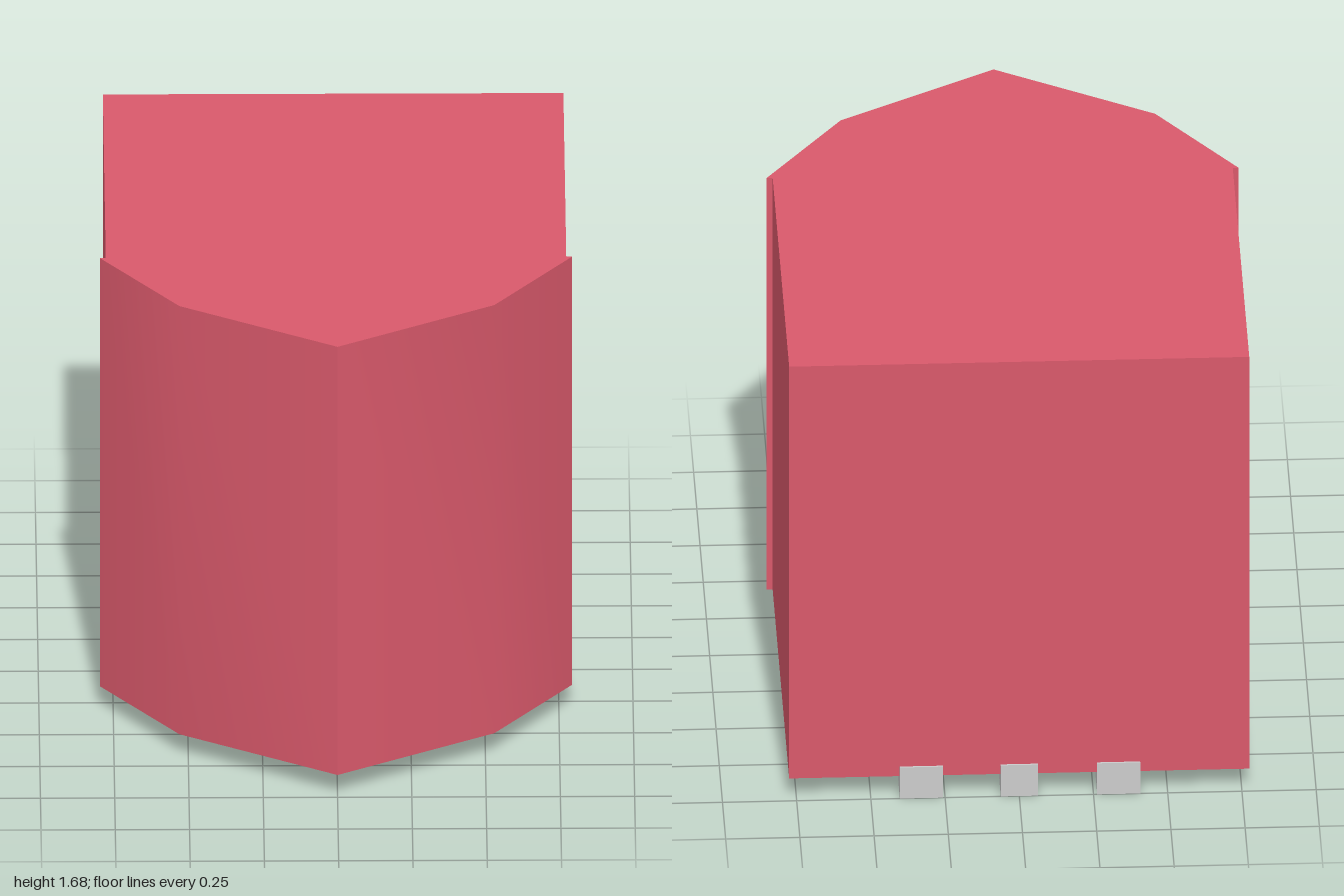
import * as THREE from 'three';
import { toCreasedNormals } from 'three/addons/utils/BufferGeometryUtils.js';

const red = new THREE.MeshStandardMaterial({ color: 0xd9596b });
const grey = new THREE.MeshStandardMaterial({ color: 0xcccccc });

// Extrudes a plan outline (x, z) between two heights.
function prism(name, shape, bottom, top, material) {
  const geo = new THREE.ExtrudeGeometry(shape, { depth: top - bottom, bevelEnabled: false, curveSegments: 10 });
  geo.rotateX(Math.PI / 2).translate(0, top, 0);
  const mesh = new THREE.Mesh(toCreasedNormals(geo, 0.6), material);
  mesh.name = name;
  return mesh;
}

export function createModel() {
  const model = new THREE.Group();
  model.name = 'pointedBlock';

  // Body: straight sides, small shoulder lip and a faceted pointed front
  const half = [[0.775, -0.993], [0.775, 0.295], [0.795, 0.295], [0.53, 0.675]];
  const outline = [...half, [0, 1], ...half.map(([x, z]) => [-x, z]).reverse()];
  const bodyShape = new THREE.Shape(outline.map(([x, z]) => new THREE.Vector2(x, z)));
  model.add(prism('body', bodyShape, 0.083, 1.677, red));

  // Three runners under the back, rounded at their front ends
  for (const [x, w] of [[-0.335, 0.145], [0, 0.125], [0.33, 0.145]]) {
    const r = w / 2;
    const s = new THREE.Shape();
    s.moveTo(x - r, -1);
    s.lineTo(x + r, -1);
    s.lineTo(x + r, -0.27 - r);
    s.absarc(x, -0.27 - r, r, 0, Math.PI, false);
    s.closePath();
    model.add(prism('runner', s, 0, 0.12, grey));
  }

  // Two by two square pads under the middle
  for (const x of [-0.097, 0.093]) {
    for (const z of [-0.053, 0.142]) {
      const pad = new THREE.Mesh(new THREE.BoxGeometry(0.125, 0.09, 0.125), grey);
      pad.name = 'pad';
      pad.position.set(x, 0.067, z);
      model.add(pad);
    }
  }
  return model;
}
